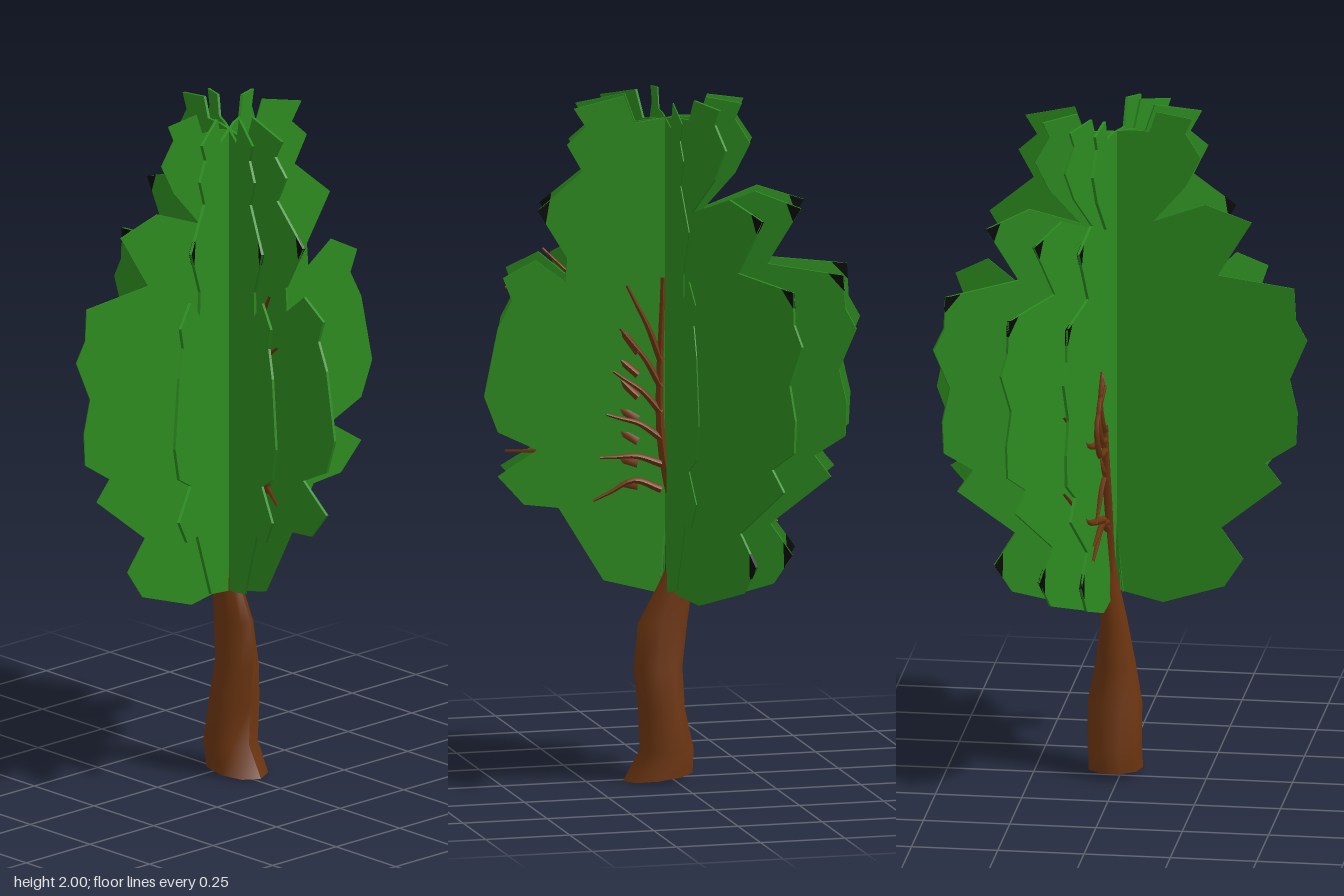
import * as THREE from 'three';

const leafGreen = new THREE.MeshStandardMaterial({ color: 0x2d8c20 });
const barkBrown = new THREE.MeshStandardMaterial({ color: 0x6c3510 });
const tipBlack = new THREE.MeshStandardMaterial({ color: 0x060806 });
leafGreen.name = 'leafGreen';
barkBrown.name = 'barkBrown';
tipBlack.name = 'tipBlack';

// Leaf card outline: distance from the tree axis and height, wide side upward
const WIDE = [
  [0, 0.78], [0.025, 0.55], [0.14, 0.525], [0.32, 0.585], [0.375, 0.67], [0.31, 0.76],
  [0.488, 0.905], [0.44, 0.965], [0.53, 1.025], [0.535, 1.12], [0.512, 1.22], [0.563, 1.34],
  [0.53, 1.4], [0.525, 1.495], [0.3, 1.52], [0.4, 1.685], [0.265, 1.73], [0.11, 1.67],
  [0.205, 1.78], [0.25, 1.87], [0.205, 1.94], [0.225, 1.985], [0.12, 2], [0.1, 1.94], [0.04, 1.94],
];
// Narrow side, from the top down
const NARROW = [
  [-0.09, 1.92], [-0.12, 2], [-0.265, 1.965], [-0.23, 1.91], [-0.285, 1.86], [-0.24, 1.78],
  [-0.37, 1.67], [-0.285, 1.53], [-0.29, 1.46], [-0.375, 1.525], [-0.47, 1.475], [-0.445, 1.41],
  [-0.485, 1.33], [-0.525, 1.13], [-0.485, 1.025], [-0.37, 0.97], [-0.485, 0.895],
  [-0.41, 0.812], [-0.31, 0.8], [-0.18, 0.585], [-0.02, 0.545],
];
const outline = [...WIDE, ...NARROW].map(([x, y]) => new THREE.Vector2(x, y));

function slab(points, depth, material, name) {
  const geo = new THREE.ExtrudeGeometry(new THREE.Shape(points), { depth, bevelEnabled: false });
  geo.translate(0, 0, -depth / 2);
  const mesh = new THREE.Mesh(geo, material);
  mesh.name = name;
  return mesh;
}

// Small dark corner cut from the outline at one lobe
function darkTip(i, depth) {
  const p = outline[i];
  const toward = (q) => q.clone().sub(p).setLength(0.045).add(p);
  return slab([toward(outline[i - 1]), p, toward(outline[i + 1])], depth + 0.0015, tipBlack, 'darkTip');
}

// One upright leaf card whose wide side points along (dx, dz)
function leafCard(dx, dz, depth, tips) {
  const card = new THREE.Group();
  card.name = 'leafCard';
  card.add(slab(outline, depth, leafGreen, 'foliage'));
  for (const i of tips) card.add(darkTip(i, depth));
  card.rotation.y = Math.atan2(-dz, dx);
  card.position.set(0.015, 0, 0.018);
  return card;
}

// Tapered limb along a smooth path
function limb(points, r0, r1, name) {
  const curve = new THREE.CatmullRomCurve3(points);
  const steps = 10, sides = 5;
  const geo = new THREE.TubeGeometry(curve, steps, 1, sides);
  const pos = geo.attributes.position, v = new THREE.Vector3();
  for (let i = 0; i < pos.count; i++) {
    const t = Math.floor(i / (sides + 1)) / steps;
    const c = curve.getPointAt(t);
    v.fromBufferAttribute(pos, i).sub(c).multiplyScalar(r0 + (r1 - r0) * t).add(c);
    pos.setXYZ(i, v.x, v.y, v.z);
  }
  geo.computeVertexNormals();
  const mesh = new THREE.Mesh(geo, barkBrown);
  mesh.name = name;
  return mesh;
}

// Twig from a to b, bowed upward (or down when bow is negative), then kinked near its end
function twig(a, b, bow) {
  const near = a.clone().lerp(b, 0.4), far = a.clone().lerp(b, 0.75);
  near.y += bow;
  far.y += bow * 0.4;
  return limb([a, near, far, b], 0.012, 0.004, 'twig');
}

// Curved trunk: each ring is height, centre x, centre z, half width x, half depth z
function trunk() {
  const rings = [
    [0.01, 0.02, 0.043, 0.08, 0.103], [0.09, 0.02, 0.017, 0.08, 0.079],
    [0.21, 0.02, 0.033, 0.08, 0.068], [0.33, 0.02, 0.042, 0.058, 0.072],
    [0.46, 0.022, 0.028, 0.038, 0.074], [0.57, 0.028, -0.008, 0.028, 0.052],
    [0.65, 0.032, -0.026, 0.022, 0.032], [0.84, 0.033, -0.012, 0.01, 0.014],
  ];
  const geo = new THREE.CylinderGeometry(1, 1, 1, 9, rings.length - 1);
  const pos = geo.attributes.position;
  for (let i = 0; i < pos.count; i++) {
    const k = Math.round((pos.getY(i) + 0.5) * (rings.length - 1));
    const [y, cx, cz, rx, rz] = rings[k];
    const z = pos.getZ(i);
    const slant = k === 0 ? -0.01 * z : 0; // the foot dips toward the front
    pos.setXYZ(i, cx + pos.getX(i) * rx, y + slant, cz + z * rz);
  }
  geo.computeVertexNormals();
  const mesh = new THREE.Mesh(geo, barkBrown);
  mesh.name = 'trunk';
  return mesh;
}

const at = (x, y, z) => new THREE.Vector3(x, y, z);

function frontBranches() {
  const group = new THREE.Group();
  group.name = 'frontBranches';
  group.add(limb([at(0.033, 0.72, -0.02), at(0.026, 1, 0.035), at(0.03, 1.47, 0.03)], 0.018, 0.007, 'stem'));
  // twigs stacked up the stem, rising more steeply toward the top
  for (let i = 0; i < 6; i++) {
    const y = 0.85 + 0.075 * i;
    group.add(twig(at(0.028, y, 0.035), at(0.022, 0.825 + 0.125 * i, 0.235 - 0.02 * i), i === 0 ? 0.04 : 0.015));
  }
  // twigs fanning out on the front left, alternately long and short
  for (let i = 0; i < 7; i++) {
    const reach = i % 2 ? 1 : 0.72;
    const a = at(0.02, 0.86 + 0.065 * i, 0.1);
    const b = at(0.02 - 0.21 * reach, 0.82 + 0.12 * i, 0.1 + 0.34 * reach);
    group.add(twig(a, b, 0.025));
    // short fork partway along
    const fork = a.clone().lerp(b, 0.6);
    if (i % 2) group.add(twig(fork, fork.clone().add(at(-0.04, 0.11, 0.06)), 0.01));
  }
  return group;
}

function backBranches() {
  const group = new THREE.Group();
  group.name = 'backBranches';
  group.add(limb([at(0.033, 0.6, -0.03), at(0.025, 0.78, -0.08), at(0.022, 0.95, -0.13), at(0.025, 1.1, -0.14)], 0.024, 0.01, 'stem'));
  // low twigs sweeping backward
  for (const [y, endY, endZ] of [[0.77, 0.78, -0.3], [0.79, 0.74, -0.31], [0.94, 0.83, -0.24]]) {
    group.add(twig(at(0.024, y, -0.09), at(0.035, endY, endZ), 0.035));
  }
  // upper twigs curling back over toward the axis
  for (let i = 0; i < 3; i++) {
    const y = 1.02 + 0.03 * i, out = 0.3 - 0.04 * i;
    group.add(limb([
      at(0.024, y, -0.13), at(0.022, y + 0.03, 0.03 - out),
      at(0.026, y + 0.12, -out), at(0.026, y + 0.19, -0.12 - 0.03 * i),
    ], 0.011, 0.005, 'curledTwig'));
  }
  // long twigs breaking out past the foliage
  for (const y of [0.82, 1.05]) {
    group.add(twig(at(0.025, y, -0.16), at(0.1, y + 0.17, -0.46), -0.04));
  }
  group.add(twig(at(0.025, 0.95, -0.13), at(0.075, 1.07, -0.21), 0.01));
  return group;
}

export function createModel() {
  const tree = new THREE.Group();
  tree.name = 'tree';
  tree.add(trunk(), frontBranches(), backBranches());

  // Four crossing leaf cards; the first is thin and plain
  const tips = [4, 13, 15, 31];
  tree.add(leafCard(-0.997, -0.077, 0.003, []));
  tree.add(leafCard(0.87, -0.49, 0.008, tips));
  tree.add(leafCard(0.47, -0.88, 0.007, tips));
  tree.add(leafCard(0.133, -0.99, 0.008, tips));
  return tree;
}
